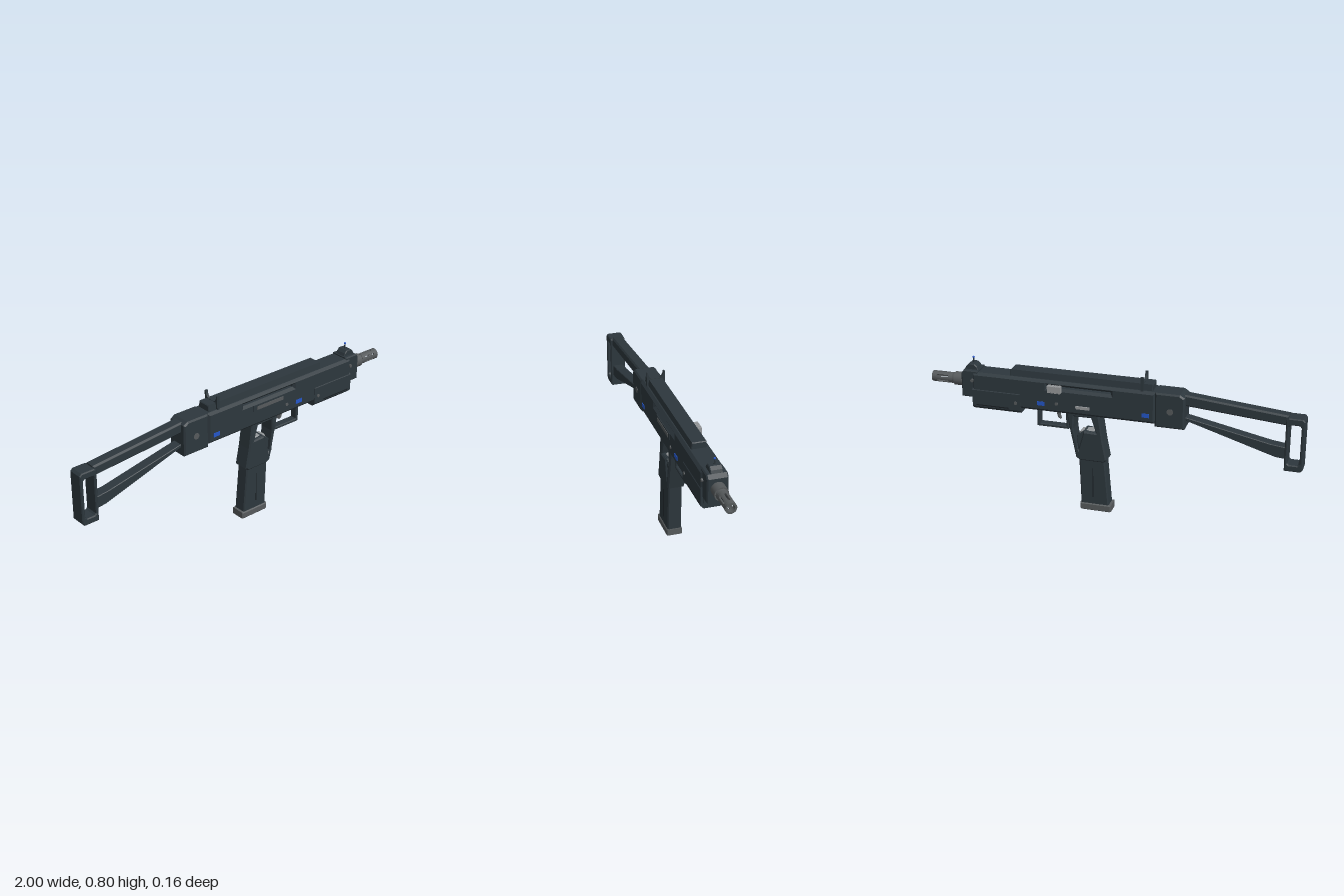
import * as THREE from 'three';

const mat = (name, color) => new THREE.MeshStandardMaterial({ name, color });

export function createModel() {
  const root = new THREE.Group();
  const body = new THREE.Group();
  body.name = 'body';
  body.position.z = 0.0075;
  root.add(body);

  const black = mat('blued steel', 0x2d373d);
  const dark = mat('dark recess', 0x1a2024);
  const grey = mat('gunmetal grey', 0x565a5c);
  const light = mat('bare steel', 0x96999b);
  const blue = mat('blue marking', 0x2456c8);

  const add = (name, geo, m, x = 0, y = 0, z = 0) => {
    const mesh = new THREE.Mesh(geo, m);
    mesh.name = name;
    mesh.position.set(x, y, z);
    body.add(mesh);
    return mesh;
  };
  const vec = (pts) => pts.map(([a, b]) => new THREE.Vector2(a, b));

  // Side profile extruded symmetrically across the width, with bevelled edges
  const extrude = (pts, half, bevel = 0.006, holes = []) => {
    const shape = new THREE.Shape(vec(pts));
    holes.forEach((h) => shape.holes.push(new THREE.Path(vec(h))));
    return new THREE.ExtrudeGeometry(shape, {
      depth: 2 * (half - bevel), bevelEnabled: bevel > 0, bevelSize: bevel,
      bevelThickness: bevel, bevelOffset: -bevel, bevelSegments: 1, curveSegments: 8,
    }).translate(0, 0, -half + bevel);
  };
  const rect = (x0, y0, x1, y1) => [[x0, y0], [x1, y0], [x1, y1], [x0, y1]];
  // Cross-section in (z, y) extruded along x from x0 to x1
  const alongX = (pts, x0, x1, bevel = 0) =>
    extrude(pts, (x1 - x0) / 2, bevel).rotateY(Math.PI / 2).translate((x0 + x1) / 2, 0, 0);
  const box = (name, m, x0, x1, y0, y1, z0, z1) =>
    add(name, new THREE.BoxGeometry(x1 - x0, y1 - y0, z1 - z0), m, (x0 + x1) / 2, (y0 + y1) / 2, (z0 + z1) / 2);
  const tube = (r0, r1, len, n = 20, open = false) =>
    new THREE.CylinderGeometry(r1, r0, len, n, 1, open).rotateZ(-Math.PI / 2);

  // Receiver with the bolt-handle slot cut through
  add('receiver', extrude(rect(-0.24, 0.553, 0.76, 0.728), 0.06, 0.014, [rect(0, 0.688, 0.34, 0.699)]), black);
  add('rearBlock', extrude([[-0.39, 0.54], [-0.235, 0.54], [-0.235, 0.728], [-0.365, 0.728], [-0.39, 0.712]], 0.059, 0.008), black);
  add('frontBlock', extrude([[0.725, 0.585], [0.82, 0.585], [0.82, 0.715], [0.805, 0.735], [0.725, 0.735]], 0.053, 0.006), black);
  add('topRail', alongX([[-0.042, 0.72], [0.042, 0.72], [0.036, 0.762], [-0.036, 0.762]], -0.22, 0.548, 0.004), black);

  // Lower front housing with chamfered underside
  add('handguard', alongX([[-0.046, 0.525], [0.046, 0.525], [0.063, 0.542], [0.063, 0.632], [0.056, 0.64],
    [-0.056, 0.64], [-0.063, 0.632], [-0.063, 0.542]], 0.49, 0.757), black);

  // Grip frame with its open window, and the trigger guard
  add('grip', extrude([[0.025, 0.305], [0.04, 0.292], [0.17, 0.292], [0.192, 0.305], [0.228, 0.48], [0.243, 0.56],
    [0.066, 0.56], [0.046, 0.415]], 0.046, 0.007, [[[0.082, 0.455], [0.15, 0.458], [0.18, 0.35], [0.192, 0.36], [0.205, 0.47],
    [0.202, 0.538], [0.108, 0.538]]]), black);
  add('gripCore', extrude([[0.045, 0.31], [0.18, 0.31], [0.188, 0.43], [0.15, 0.46], [0.07, 0.455]], 0.038, 0.004), black);
  add('magazineTop', extrude([[0.09, 0.445], [0.18, 0.435], [0.17, 0.456], [0.1, 0.464]], 0.025, 0.004), light);
  add('triggerGuard', extrude(rect(0.238, 0.452, 0.412, 0.565), 0.022, 0.004, [rect(0.252, 0.468, 0.396, 0.55)]), black);
  add('trigger', extrude([[0.278, 0.56], [0.303, 0.56], [0.306, 0.53], [0.298, 0.508], [0.284, 0.5], [0.291, 0.522], [0.29, 0.54]], 0.012, 0.002), grey);

  // Magazine
  add('magazine', extrude([[0.016, 0.035], [0.168, 0.035], [0.178, 0.3], [0.038, 0.3]], 0.037, 0.006), black);
  add('magazineBase', extrude([[0.003, 0.003], [0.012, 0], [0.166, 0], [0.174, 0.006], [0.174, 0.04], [0.003, 0.04]], 0.042, 0.005), grey);

  // Skeleton stock
  add('stockUpperBar', extrude([[-0.915, 0.618], [-0.38, 0.662], [-0.38, 0.722], [-0.915, 0.672]], 0.031, 0.008), black);
  add('stockLowerBar', extrude([[-0.915, 0.435], [-0.855, 0.44], [-0.38, 0.585], [-0.38, 0.601], [-0.83, 0.508], [-0.915, 0.498]], 0.029, 0.003), black);
  add('buttFrame', extrude([[-1, 0.388], [-0.988, 0.375], [-0.905, 0.375], [-0.903, 0.655], [-0.915, 0.664], [-0.988, 0.664], [-1, 0.652]],
    0.042, 0.005, [[[-0.982, 0.418], [-0.972, 0.41], [-0.928, 0.41], [-0.92, 0.418], [-0.92, 0.618], [-0.928, 0.628],
      [-0.972, 0.628], [-0.982, 0.618]]]), black);

  // Barrel collar and slotted muzzle
  const by = 0.662;
  add('barrelCollar', tube(0.036, 0.036, 0.055), grey, 0.846, by);
  add('collarStep', tube(0.031, 0.025, 0.025), grey, 0.882, by);
  const muzzle = (a0, a1) => {
    const s = new THREE.Shape();
    s.absarc(0, 0, 0.029, a0, a1, false);
    s.absarc(0, 0, 0.019, a1, a0, true);
    return s;
  };
  const ring = (x0, x1, shape, name) => add(name, new THREE.ExtrudeGeometry(shape,
    { depth: x1 - x0, bevelEnabled: false, curveSegments: 12 }).rotateY(Math.PI / 2), grey, x0, by);
  const full = () => {
    const s = new THREE.Shape().absarc(0, 0, 0.029, 0, Math.PI * 2, false);
    s.holes.push(new THREE.Path().absarc(0, 0, 0.019, 0, Math.PI * 2, true));
    return s;
  };
  ring(0.885, 0.908, full(), 'muzzleRear');
  ring(0.973, 1, full(), 'muzzleTip');
  for (let i = 0; i < 6; i++) {
    const a = i * Math.PI / 3;
    ring(0.908, 0.973, muzzle(a - 0.34, a + 0.34), 'muzzleProng');
  }
  add('bore', tube(0.019, 0.019, 0.01), dark, 0.9, by);

  // Rear sight with two curved horns
  const horns = new THREE.Shape();
  horns.moveTo(-0.049, 0.72);
  horns.lineTo(0.049, 0.72);
  horns.lineTo(0.049, 0.801);
  horns.lineTo(0.042, 0.801);
  horns.quadraticCurveTo(0.04, 0.775, 0.022, 0.764);
  horns.lineTo(-0.022, 0.764);
  horns.quadraticCurveTo(-0.04, 0.775, -0.042, 0.801);
  horns.lineTo(-0.049, 0.801);
  add('rearSight', new THREE.ExtrudeGeometry(horns, { depth: 0.014, bevelEnabled: false }).rotateY(Math.PI / 2), black, -0.172);

  // Front sight
  add('frontSightBase', extrude([[0.73, 0.73], [0.807, 0.73], [0.798, 0.75], [0.782, 0.764], [0.752, 0.764], [0.738, 0.75]], 0.032, 0.004), black);
  add('frontSightPost', new THREE.CylinderGeometry(0.003, 0.004, 0.035, 8), black, 0.766, 0.775);
  add('frontSightBead', new THREE.SphereGeometry(0.006, 12, 8), blue, 0.766, 0.793);

  // Details repeated on both sides
  for (const s of [1, -1]) {
    const plate = (name, m, x0, x1, y0, y1, z, t = 0.006) =>
      box(name, m, x0, x1, y0, y1, s * z - t / 2, s * z + t / 2);
    const pin = (name, m, x, y, r, z) =>
      add(name, new THREE.CylinderGeometry(r, r, 0.012, 14).rotateX(Math.PI / 2), m, x, y, s * z);
    plate('blueMarking', blue, -0.207, -0.167, 0.587, 0.609, 0.06);
    plate('blueMarking', blue, 0.355, 0.397, 0.587, 0.609, 0.06);
    plate('handguardGroove', dark, 0.555, 0.735, 0.547, 0.553, 0.0625, 0.003);
    plate('magazineSeam', dark, 0.1, 0.104, 0.08, 0.25, 0.0365, 0.003);
    pin('stockScrew', grey, -0.315, 0.632, 0.017, 0.055);
    pin('receiverPin', grey, 0.29, 0.606, 0.009, 0.058);
    pin('handguardPin', grey, 0.515, 0.584, 0.009, 0.061);
    pin('frontPin', grey, 0.757, 0.682, 0.009, 0.056);
  }

  // Ejection port on the front side
  box('ejectionFrame', black, 0.06, 0.28, 0.64, 0.674, 0.058, 0.064);
  box('ejectionBolt', grey, 0.08, 0.26, 0.647, 0.666, 0.058, 0.067);

  // Ribbed bolt handle and selector lever on the back side
  box('handleStem', grey, 0.275, 0.315, 0.68, 0.706, -0.07, -0.055);
  for (let i = 0; i < 4; i++) box('boltHandleRib', light, 0.26 + i * 0.019, 0.274 + i * 0.019, 0.674, 0.711, -0.089, -0.062);
  box('boltHandleCore', light, 0.262, 0.328, 0.677, 0.708, -0.086, -0.064);
  box('selectorLever', light, 0.11, 0.185, 0.592, 0.607, -0.068, -0.058);

  return root;
}
